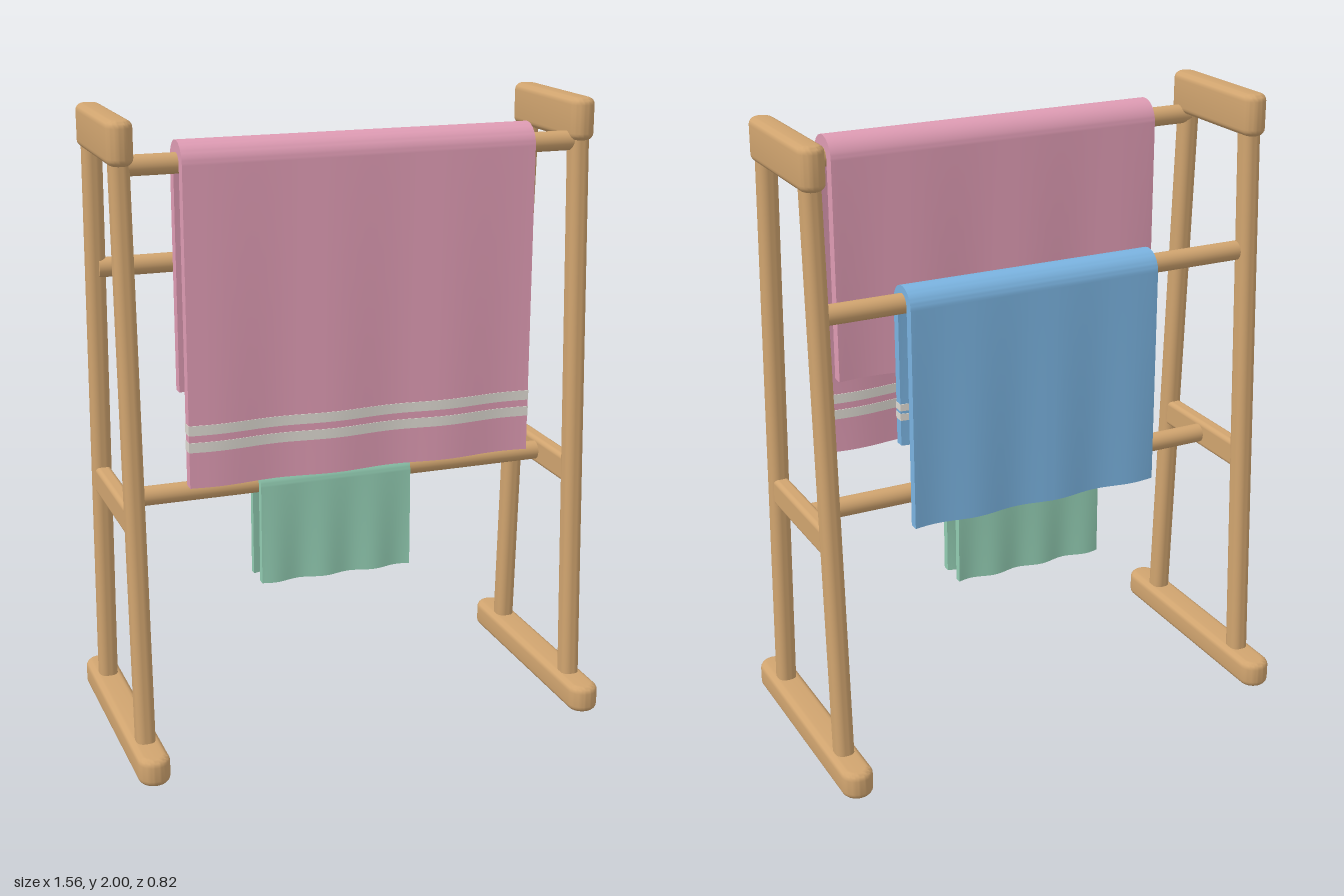
import * as THREE from 'three';
import { RoundedBoxGeometry } from 'three/addons/geometries/RoundedBoxGeometry.js';
import { toCreasedNormals } from 'three/addons/utils/BufferGeometryUtils.js';

const material = (name, color) => {
  const m = new THREE.MeshStandardMaterial({ color });
  m.name = name;
  return m;
};

function addMesh(parent, name, geometry, mat, x = 0, y = 0, z = 0) {
  const mesh = new THREE.Mesh(geometry, mat);
  mesh.name = name;
  mesh.position.set(x, y, z);
  parent.add(mesh);
  return mesh;
}

// Bar along z with round ends in plan and softened top and bottom edges, base at y = 0
function roundEndedBar(width, height, length) {
  const bevel = 0.022;
  const r = width / 2 - bevel;
  const half = length / 2 - width / 2;
  const shape = new THREE.Shape();
  shape.absarc(0, half, r, 0, Math.PI);
  shape.absarc(0, -half, r, Math.PI, Math.PI * 2);
  const g = new THREE.ExtrudeGeometry(shape, {
    depth: height - 2 * bevel, bevelSize: bevel, bevelThickness: bevel,
    bevelSegments: 5, curveSegments: 12,
  });
  g.rotateX(-Math.PI / 2);
  g.translate(0, bevel, 0);
  return toCreasedNormals(g, 0.7);
}

// Cross-section swept along x, with three soft folds that widen towards the hems
function cloth(shape, t) {
  const width = t.x1 - t.x0;
  const g = new THREE.ExtrudeGeometry(shape, {
    depth: width, steps: 48, bevelEnabled: false, curveSegments: 14,
  });
  g.rotateY(Math.PI / 2);
  const p = g.attributes.position;
  for (let i = 0; i < p.count; i++) {
    const y = p.getY(i), z = p.getZ(i);
    const drop = t.y - (z > 0 ? t.frontHem : t.backHem);
    const fall = Math.max(0, -y) / drop;
    const fold = 0.008 * fall * Math.sin((p.getX(i) / width) * Math.PI * 6);
    p.setZ(i, z + Math.sign(z) * fold);
  }
  g.translate(t.x0, t.y, t.z);
  return toCreasedNormals(g, 0.7);
}

// Towel folded over a rod; section x runs towards the back
function addTowel(parent, t, stripeMat) {
  const group = new THREE.Group();
  group.name = t.name;
  parent.add(group);
  const front = t.frontHem - t.y, back = t.backHem - t.y;
  const { outer, inner } = t;
  const s = new THREE.Shape();
  s.moveTo(outer, back);
  s.lineTo(outer, 0);
  s.absarc(0, 0, outer, 0, Math.PI, false);
  s.lineTo(-outer, front);
  s.lineTo(-inner, front);
  s.lineTo(-inner, 0);
  s.absarc(0, 0, inner, Math.PI, 0, true);
  s.lineTo(inner, back);
  s.closePath();
  addMesh(group, 'towelCloth', cloth(s, t), t.mat);

  // Woven bands around the front panel
  const lift = 0.002;
  for (const [low, high] of t.stripes) {
    const b = new THREE.Shape();
    b.moveTo(-outer - lift, low - t.y);
    b.lineTo(-inner + lift, low - t.y);
    b.lineTo(-inner + lift, high - t.y);
    b.lineTo(-outer - lift, high - t.y);
    b.closePath();
    const wide = { ...t, x0: t.x0 - 0.001, x1: t.x1 + 0.001 };
    addMesh(group, 'towelStripe', cloth(b, wide), stripeMat);
  }
}

export function createModel() {
  const model = new THREE.Group();
  model.name = 'towelRack';
  const wood = material('wood', 0xd0a46f);
  const pink = material('pinkCloth', 0xde9bb3);
  const blue = material('blueCloth', 0x7ab3e0);
  const green = material('greenCloth', 0x92ccb2);
  const pale = material('paleStripe', 0xdcd8d0);

  // Mirrored side frames
  const footGeo = roundEndedBar(0.1, 0.09, 0.82);
  const railGeo = roundEndedBar(0.08, 0.132, 0.464);
  const legGeo = new RoundedBoxGeometry(0.06, 1.88, 0.068, 4, 0.024);
  const stretcherGeo = new RoundedBoxGeometry(0.05, 0.09, 0.44, 4, 0.015);
  for (const side of [1, -1]) {
    const frame = new THREE.Group();
    frame.name = side > 0 ? 'leftFrame' : 'rightFrame';
    frame.position.x = side * 0.73;
    model.add(frame);
    addMesh(frame, 'foot', footGeo, wood);
    addMesh(frame, 'topRail', railGeo, wood, 0, 1.868, 0);
    addMesh(frame, 'stretcher', stretcherGeo, wood, 0, 0.793, 0);
    for (const end of [1, -1]) {
      const leg = addMesh(frame, end > 0 ? 'frontLeg' : 'backLeg', legGeo, wood, 0, 0.98, end * 0.217);
      leg.rotation.x = -end * Math.atan(0.079 / 1.78);
    }
  }

  // Hanging rods
  const rodGeo = new THREE.CylinderGeometry(0.031, 0.031, 1.45, 24);
  rodGeo.rotateZ(Math.PI / 2);
  addMesh(model, 'frontRod', rodGeo, wood, 0, 1.865, 0.173);
  addMesh(model, 'backRod', rodGeo, wood, 0, 1.495, -0.178);
  addMesh(model, 'lowerRod', rodGeo, wood, 0, 0.795, 0);

  // Towels
  addTowel(model, {
    name: 'largeTowel', mat: pink, x0: -0.56, x1: 0.555, y: 1.865, z: 0.173,
    outer: 0.067, inner: 0.031, frontHem: 0.89, backHem: 1.165,
    stripes: [[1.056, 1.087], [1.003, 1.034]],
  }, pale);
  addTowel(model, {
    name: 'mediumTowel', mat: blue, x0: -0.375, x1: 0.46, y: 1.487, z: -0.178,
    outer: 0.062, inner: 0.032, frontHem: 1.03, backHem: 0.79,
    stripes: [[1.143, 1.165], [1.112, 1.134]],
  }, pale);
  addTowel(model, {
    name: 'smallTowel', mat: green, x0: -0.28, x1: 0.23, y: 0.796, z: 0,
    outer: 0.057, inner: 0.033, frontHem: 0.47, backHem: 0.47,
    stripes: [],
  }, pale);

  return model;
}
